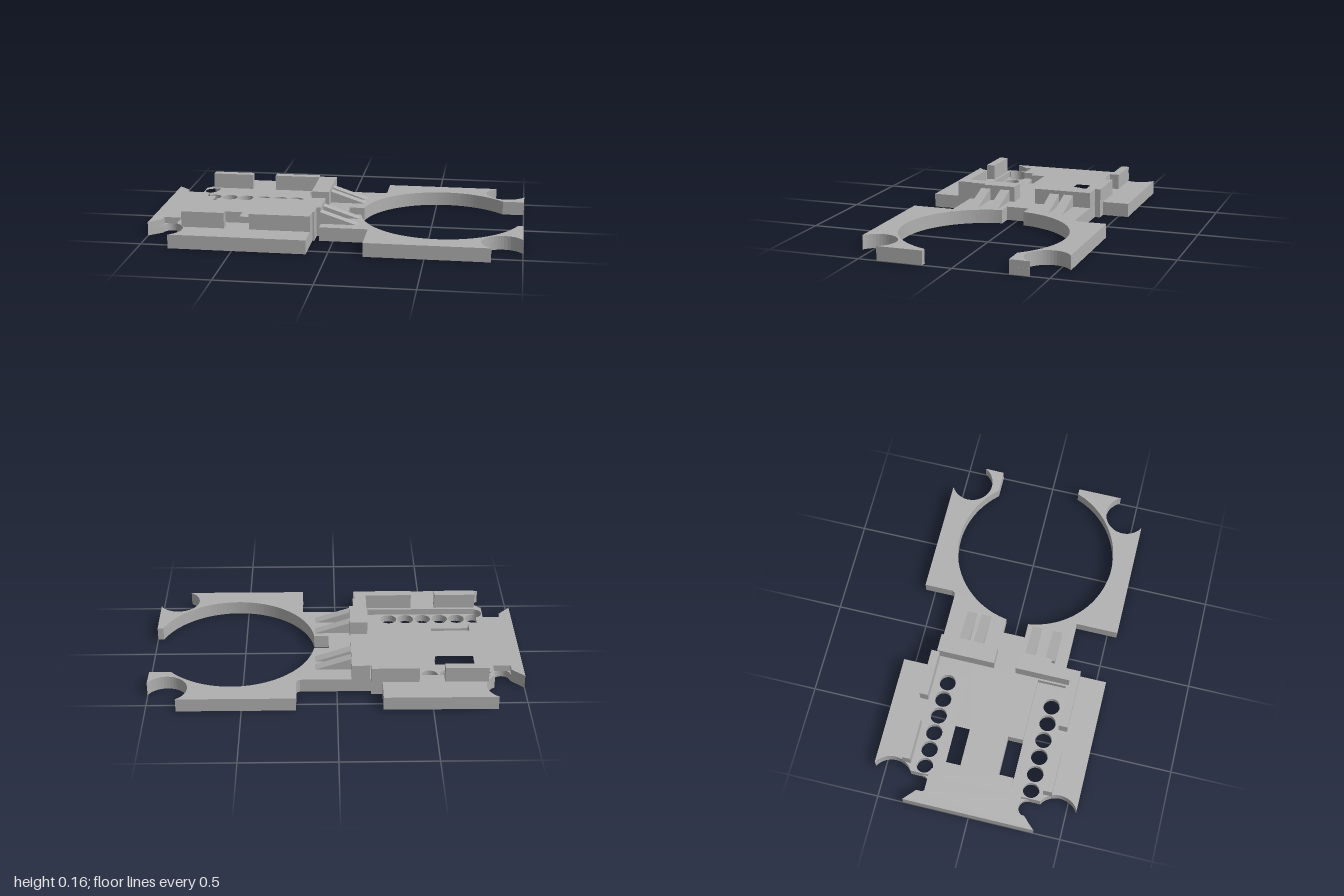
import * as THREE from 'three';

const FLOOR = 0.04, DECK = 0.075, TOP = 0.16;
const HOLE_R = 0.045, HOLE_Z = 0.293;

// points along an arc in the x/z plane, angles in degrees
function arc(cx, cz, r, a0, a1, n = 24) {
  return Array.from({ length: n + 1 }, (_, i) => {
    const a = THREE.MathUtils.degToRad(a0 + (a1 - a0) * i / n);
    return [cx + r * Math.cos(a), cz + r * Math.sin(a)];
  });
}

const toVectors = pts => pts.map(([x, z]) => new THREE.Vector2(x, z));

// horizontal slab from an x/z outline with holes
function slab(points, holes, y0, y1) {
  const shape = new THREE.Shape(toVectors(points));
  shape.holes = holes.map(h => new THREE.Path(toVectors(h)));
  const g = new THREE.ExtrudeGeometry(shape, { depth: y1 - y0, bevelEnabled: false });
  g.rotateX(Math.PI / 2);
  g.translate(0, y1, 0);
  return g;
}

// plate outline; the end notches are round in the lower layer, square in the upper
function outline(roundNotch) {
  const frontNotch = roundNotch
    ? [...arc(-0.887, HOLE_Z, HOLE_R, 180, 360), [-0.84, HOLE_Z]]
    : [[-0.935, 0.287], [-0.935, 0.25], [-0.84, 0.25]];
  const backNotch = roundNotch
    ? [[-0.84, -HOLE_Z], ...arc(-0.887, -HOLE_Z, HOLE_R, 0, 180)]
    : [[-0.84, -0.258], [-0.935, -0.258], [-0.935, -0.3]];
  return [
    [-1, -0.36], [-1, 0.355],
    ...frontNotch,
    ...arc(-0.9, 0.453, 0.115, -58.5, 58.5),
    [-0.84, 0.553], [-0.11, 0.553], [-0.11, 0.325], [-0.1, 0.325], [-0.1, 0.24],
    [-0.075, 0.24], [-0.075, 0.322], [0.185, 0.322], [0.185, 0.553], [0.84, 0.553],
    ...arc(0.9, 0.453, 0.115, 121.5, 332),
    [1, 0.4], [1, 0.155],
    ...arc(0.556, 0, 0.44, 20.6, 172.2, 48),
    [0.04, 0.06], [0.04, -0.065],
    ...arc(0.556, 0, 0.44, 188.5, 317.9, 48),
    [1, -0.295], [1, -0.4],
    ...arc(0.9, -0.455, 0.115, 28, 238.5),
    [0.84, -0.555], [0.215, -0.555], [0.215, -0.4], [0.209, -0.386], [0.195, -0.38],
    [-0.18, -0.38], [-0.18, -0.41], [-0.24, -0.41], [-0.24, -0.555], [-0.84, -0.555],
    ...arc(-0.9, -0.455, 0.115, -58.5, 58.5),
    ...backNotch,
  ];
}

export function createModel() {
  const group = new THREE.Group();
  const grey = new THREE.MeshStandardMaterial({ color: 0xb0b0b0 });
  grey.name = 'plain grey';

  const add = (name, geometry) => {
    const mesh = new THREE.Mesh(geometry, grey);
    mesh.name = name;
    group.add(mesh);
  };
  const block = (name, x0, x1, z0, z1) => {
    const g = new THREE.BoxGeometry(x1 - x0, TOP - DECK, z1 - z0);
    g.translate((x0 + x1) / 2, (DECK + TOP) / 2, (z0 + z1) / 2);
    add(name, g);
  };

  // through holes and windows, and the pockets around them
  const through = [], pockets = [];
  for (const s of [-1, 1]) {
    const side = pts => pts.map(([x, z]) => [x, s * z]);
    for (let i = 0; i < 6; i++) {
      through.push(arc(-0.79 + i * 0.097, s * HOLE_Z, HOLE_R, 0, 345, 23));
    }
    through.push(side([[-0.75, 0.105], [-0.535, 0.105], [-0.535, 0.188], [-0.75, 0.188]]));
    pockets.push(side([
      [-0.185, 0.345], [-0.8, 0.345],
      ...arc(-0.79, HOLE_Z, HOLE_R, 103, 257, 12),
      [-0.8, 0.188], [-0.75, 0.188], [-0.75, 0.105], [-0.535, 0.105],
      [-0.535, 0.188], [-0.185, 0.188],
    ]));
  }
  add('lowerPlate', slab(outline(true), through, 0, FLOOR));
  add('upperPlate', slab(outline(false), pockets, FLOOR, DECK));

  // upright side walls
  block('backOuterWall', -0.8, -0.57, -0.41, -0.365);
  block('backInnerWall', -0.435, -0.18, -0.41, -0.365);
  block('frontOuterWall', -0.8, -0.57, 0.36, 0.408);
  block('frontInnerWall', -0.435, -0.11, 0.36, 0.408);

  // cross walls by the neck; the front one steps in around the slit
  block('backCrossWall', -0.175, -0.078, -0.38, -0.062);
  block('frontCrossWall', -0.175, -0.078, 0.06, 0.24);
  block('frontCrossWallStep', -0.175, -0.1, 0.24, 0.325);
  block('frontCrossWallEnd', -0.175, -0.11, 0.325, 0.36);

  // sloping ribs bracing the cross walls
  const wedge = new THREE.Shape(toVectors([[-0.08, DECK], [0.115, DECK], [-0.08, 0.14]]));
  for (const z of [-0.283, -0.203, 0.088, 0.203]) {
    const g = new THREE.ExtrudeGeometry(wedge, { depth: 0.054, bevelEnabled: false });
    g.translate(0, 0, z);
    add('braceRib', g);
  }
  return group;
}
